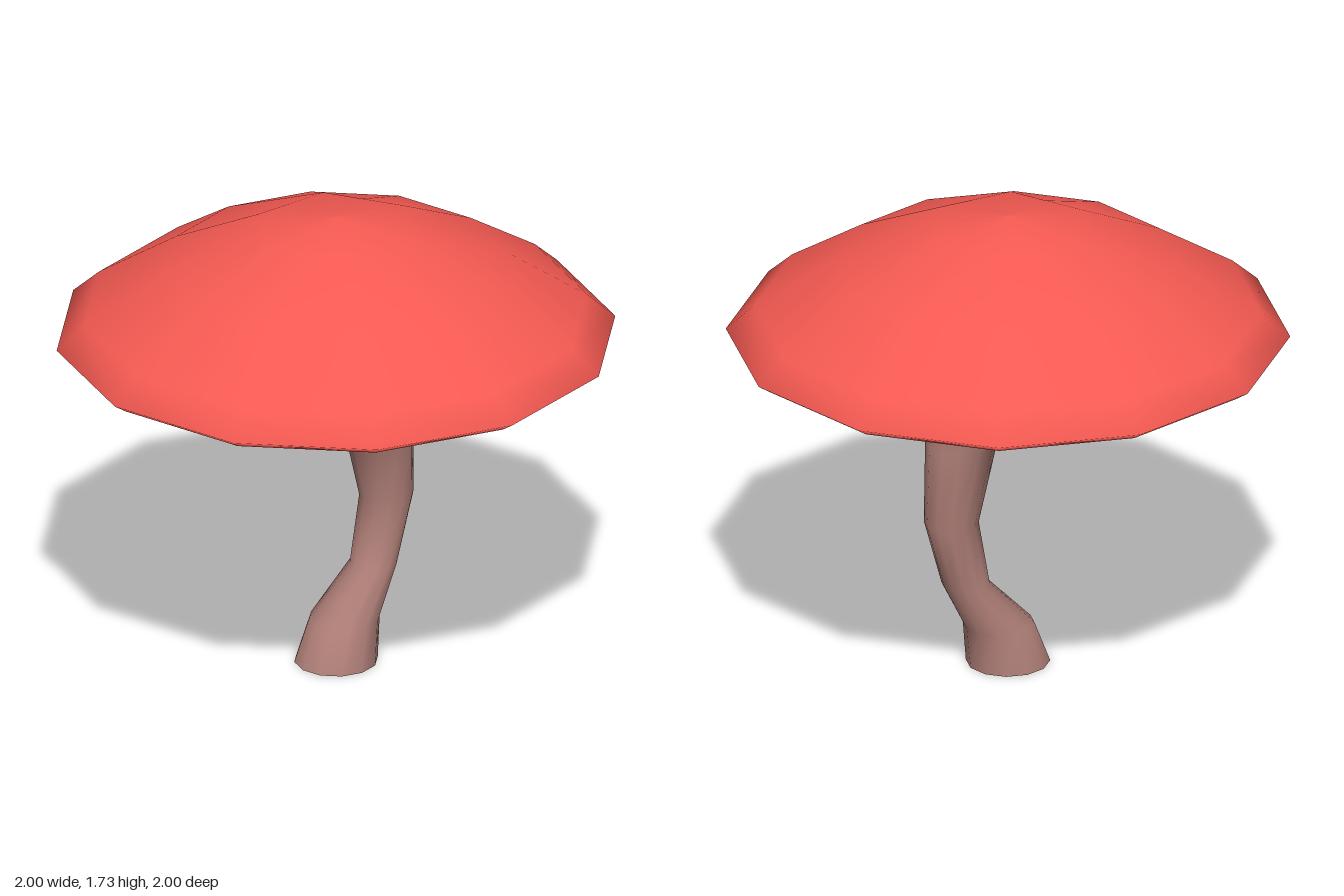
import * as THREE from 'three';

const SIDES = 12;

// Cap: a twelve-sided lathe, hollow underneath
function createCap() {
  const profile = [
    [0.565, 1.41], [0.78, 1.33], [0.95, 1.237], [1.0, 1.27],
    [0.9, 1.36], [0.61, 1.545], [0.295, 1.685], [0, 1.725],
  ].map(([r, y]) => new THREE.Vector2(r, y));
  const geometry = new THREE.LatheGeometry(profile, SIDES);

  // The ring round the crown is a hexagon: pull every other corner onto its edges
  const position = geometry.attributes.position;
  const crown = profile.length - 2;
  for (let i = 1; i < SIDES; i += 2) {
    const k = i * profile.length + crown;
    position.setX(k, position.getX(k) * Math.cos(Math.PI / 6));
    position.setZ(k, position.getZ(k) * Math.cos(Math.PI / 6));
  }
  const material = new THREE.MeshStandardMaterial({ color: 0xf55a52, side: THREE.DoubleSide });
  const cap = new THREE.Mesh(geometry, material);
  cap.name = 'cap';
  return cap;
}

// Stem: oval rings along a bent line, flaring out under the cap
function createStem() {
  // height, half width in x, back z, front z
  const rings = [
    [0, 0.148, -0.15, 0.15],
    [0.155, 0.125, -0.165, 0.09],
    [0.335, 0.087, -0.255, -0.085],
    [0.585, 0.096, -0.325, -0.13],
    [0.89, 0.13, -0.315, -0.06],
    [1.16, 0.21, -0.25, 0.165],
    [1.3, 0.34, -0.345, 0.35],
    [1.41, 0.565, -0.565, 0.565],
  ];
  const positions = [];
  const indices = [];
  rings.forEach(([y, halfWidth, back, front], j) => {
    for (let i = 0; i < SIDES; i++) {
      const a = (i / SIDES) * Math.PI * 2;
      positions.push(
        halfWidth * Math.sin(a), y,
        (front + back) / 2 + ((front - back) / 2) * Math.cos(a),
      );
      if (j === 0) continue;
      const next = (i + 1) % SIDES;
      const low = (j - 1) * SIDES;
      const high = j * SIDES;
      indices.push(low + i, low + next, high + next, low + i, high + next, high + i);
    }
  });
  const geometry = new THREE.BufferGeometry();
  geometry.setAttribute('position', new THREE.Float32BufferAttribute(positions, 3));
  geometry.setIndex(indices);
  geometry.computeVertexNormals();
  const material = new THREE.MeshStandardMaterial({ color: 0xb07f78, side: THREE.DoubleSide });
  const stem = new THREE.Mesh(geometry, material);
  stem.name = 'stem';
  return stem;
}

export function createModel() {
  const mushroom = new THREE.Group();
  mushroom.name = 'mushroom';
  mushroom.add(createCap(), createStem());
  return mushroom;
}
